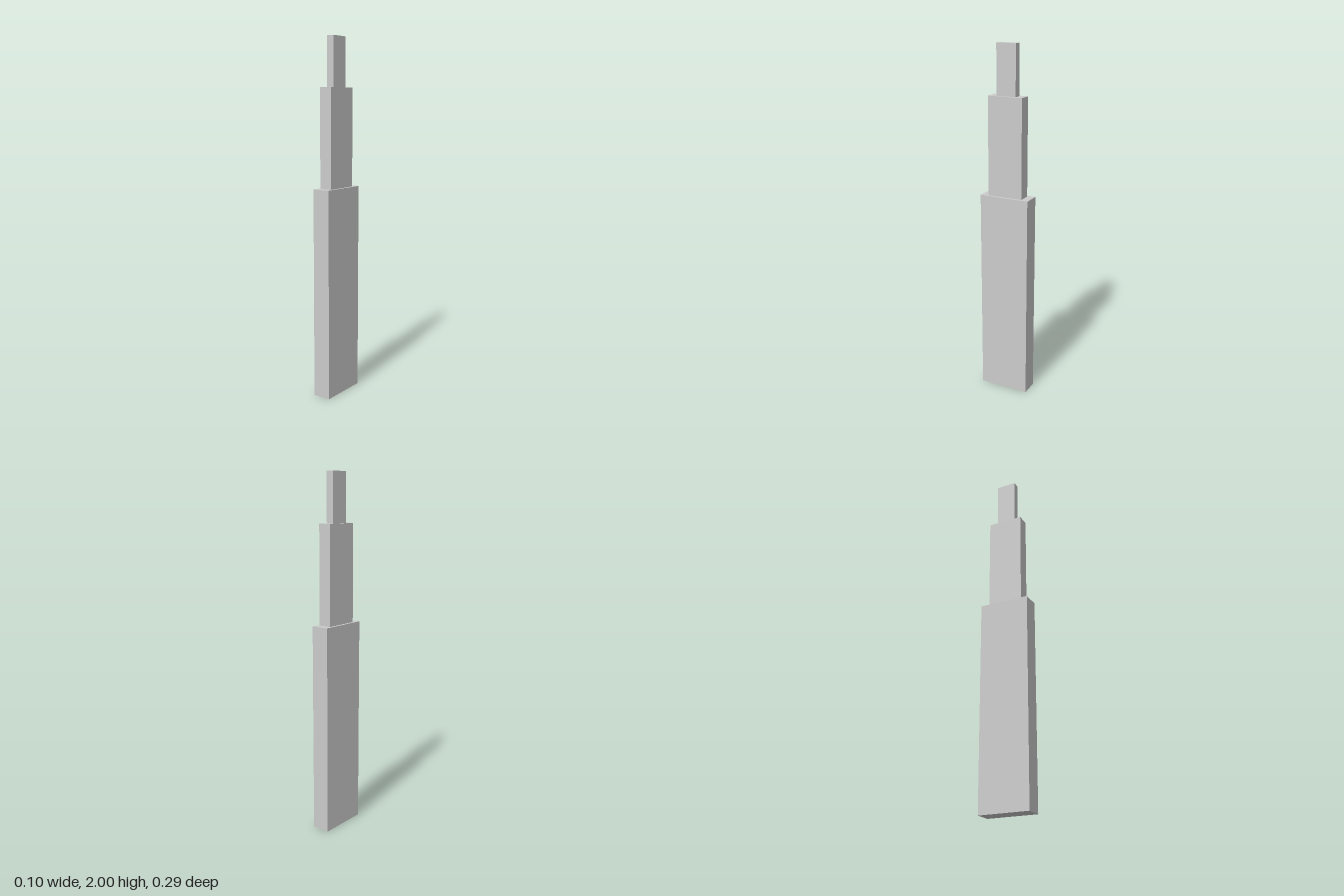
import * as THREE from 'three';

// Three stacked slabs, each narrower than the one below: [name, width, depth, bottom, top]
const TIERS = [
  ['lowerTower', 0.102, 0.287, 0, 1.18],
  ['middleTower', 0.073, 0.201, 1.18, 1.728],
  ['upperTower', 0.042, 0.113, 1.728, 2],
];

export function createModel() {
  const model = new THREE.Group();
  model.name = 'steppedTower';
  const material = new THREE.MeshStandardMaterial({ color: 0xcccccc, flatShading: true });

  for (const [name, width, depth, bottom, top] of TIERS) {
    const tier = new THREE.Mesh(new THREE.BoxGeometry(width, top - bottom, depth), material);
    tier.name = name;
    tier.position.y = (bottom + top) / 2;
    model.add(tier);
  }
  return model;
}
